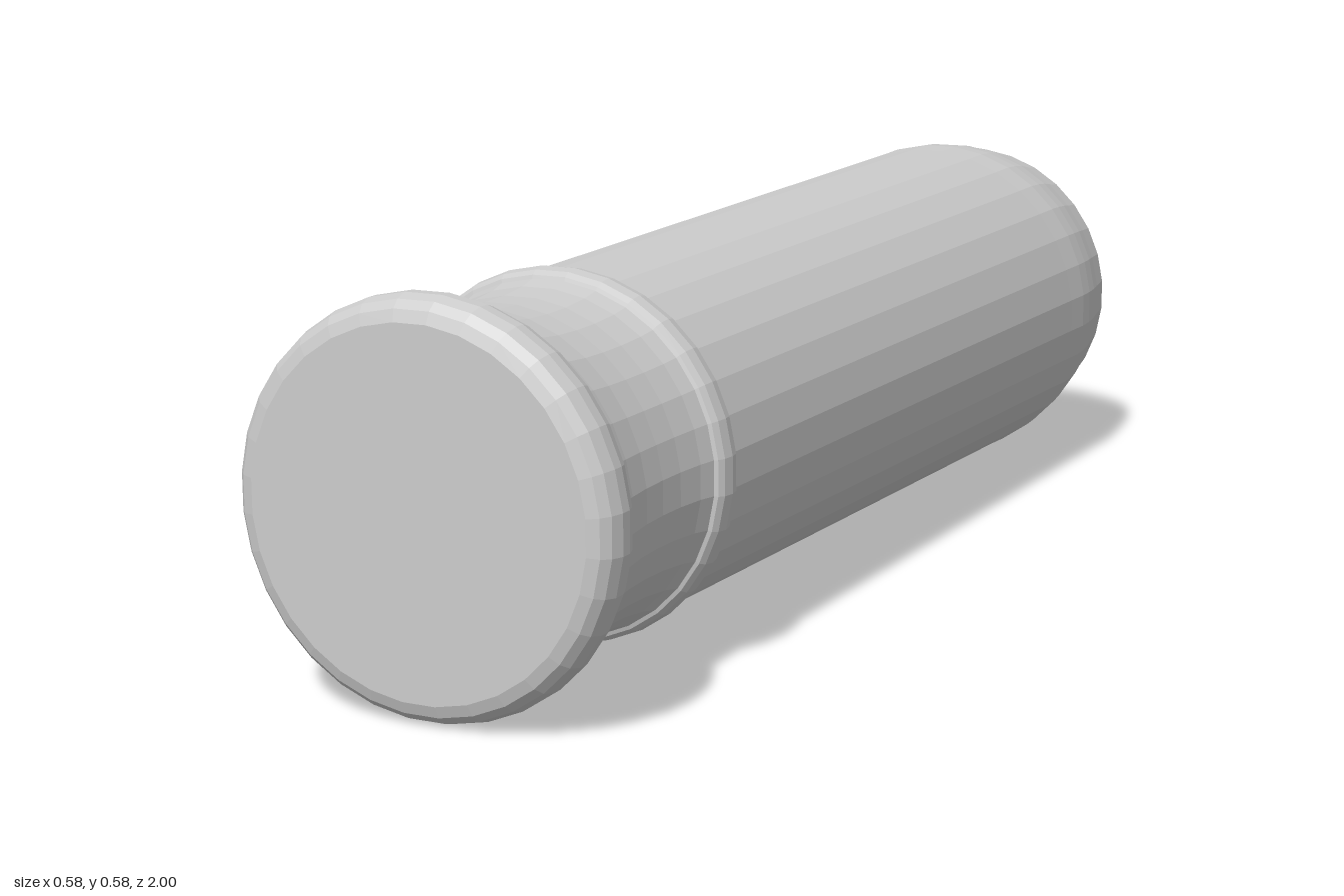
import * as THREE from 'three';

const SIDES = 32;
const AXIS_HEIGHT = 0.29;

// Turned part along z; each profile point is [radius, z], listed back to front
function turned(name, profile) {
  const points = profile.map(([r, z]) => new THREE.Vector2(r, z));
  const geometry = new THREE.LatheGeometry(points, SIDES, Math.PI / SIDES);
  geometry.rotateX(Math.PI / 2);
  const material = new THREE.MeshStandardMaterial({ color: 0xcccccc, flatShading: true });
  const mesh = new THREE.Mesh(geometry, material);
  mesh.name = name;
  mesh.position.y = AXIS_HEIGHT;
  return mesh;
}

export function createModel() {
  const group = new THREE.Group();
  group.name = 'turnedHandle';
  group.add(
    // Long tapered grip with a closed, slightly narrowed back end
    turned('grip', [
      [0, -1], [0.265, -1], [0.275, -0.94], [0.283, -0.9], [0.288, -0.86],
      [0.29, -0.82], [0.288, -0.76], [0.262, 0.59], [0.25, 0.595],
    ]),
    // Thin raised ring between grip and neck
    turned('collar', [
      [0.25, 0.586], [0.264, 0.588], [0.27, 0.596], [0.273, 0.613],
      [0.27, 0.631], [0.264, 0.64], [0.25, 0.645],
    ]),
    // Waisted neck
    turned('neck', [
      [0.26, 0.635], [0.252, 0.67], [0.247, 0.72], [0.246, 0.77],
      [0.248, 0.82], [0.254, 0.87], [0.262, 0.91], [0.266, 0.925],
    ]),
    // Rounded rim closed by the flat front face
    turned('endCap', [
      [0.255, 0.912], [0.272, 0.916], [0.284, 0.927], [0.29, 0.945],
      [0.29, 0.963], [0.284, 0.982], [0.273, 0.994], [0.256, 1], [0, 1],
    ]),
  );
  return group;
}
